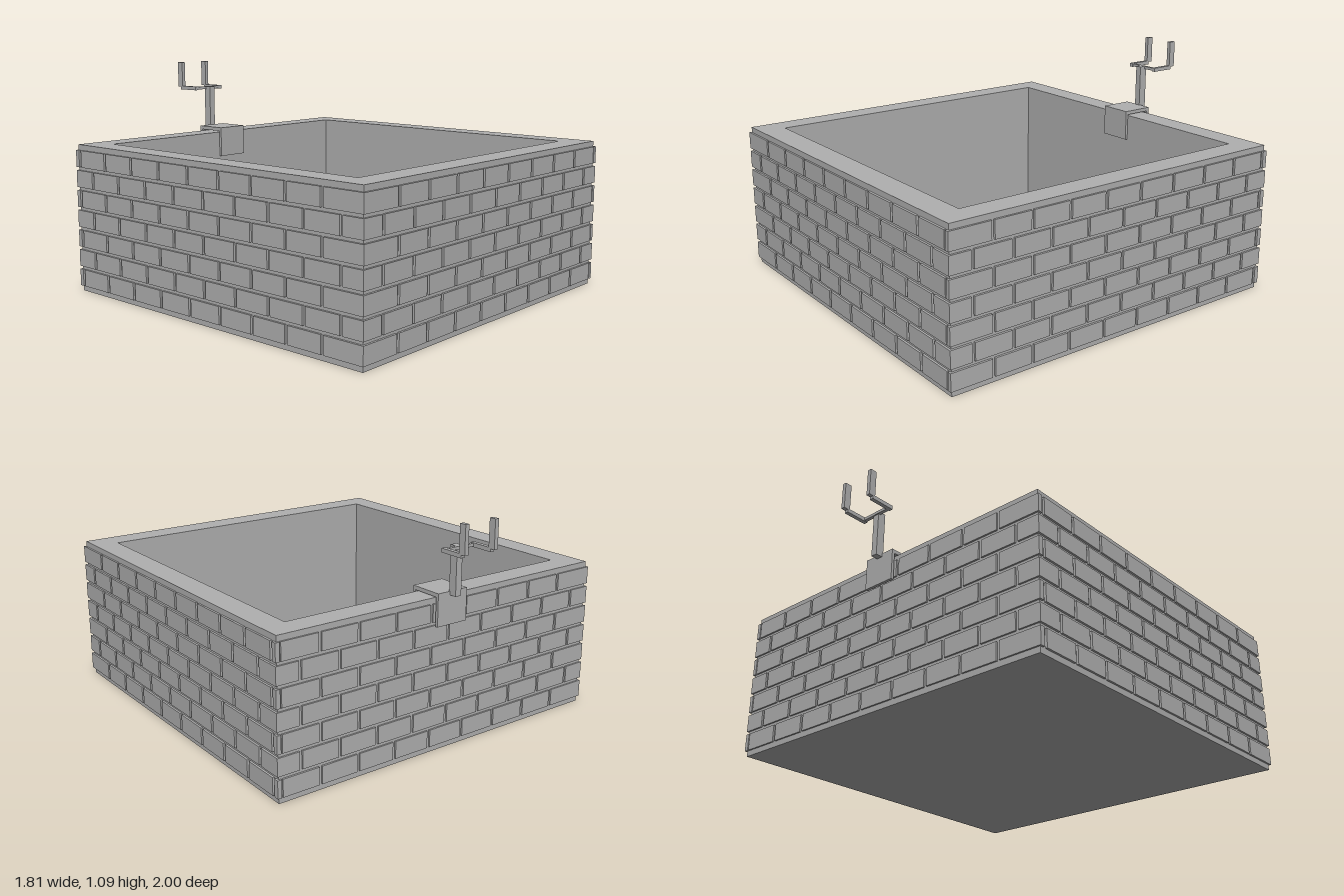
import * as THREE from 'three';

const grey = new THREE.MeshStandardMaterial({ color: 0xb0b0b0 });
grey.name = 'stone grey';

// Box given by its min and max on each axis
function box(name, [x0, x1], [y0, y1], [z0, z1]) {
  const mesh = new THREE.Mesh(new THREE.BoxGeometry(x1 - x0, y1 - y0, z1 - z0), grey);
  mesh.position.set((x0 + x1) / 2, (y0 + y1) / 2, (z0 + z1) / 2);
  mesh.name = name;
  return mesh;
}

// Spans of the bricks in one course, between two ends with evenly spaced joints
function courseSpans(start, end, firstJoint, pitch, gap) {
  const spans = [];
  let a = start;
  for (let j = firstJoint; j < end - gap; j += pitch) {
    spans.push([a, j - gap / 2]);
    a = j + gap / 2;
  }
  spans.push([a, end]);
  return spans;
}

export function createModel() {
  const model = new THREE.Group();
  model.name = 'brickBasin';

  const H = 0.728, X = 0.893, ZF = 0.99, ZB = -0.807; // core
  const BX = 0.903, BF = 1.0, BB = -0.815;            // brick faces

  // Hollow core with an open top
  const outer = new THREE.Shape([[-X, -ZF], [X, -ZF], [X, -ZB], [-X, -ZB]].map(p => new THREE.Vector2(...p)));
  outer.holes.push(new THREE.Path([[-0.775, -0.863], [-0.775, 0.69], [0.775, 0.69], [0.775, -0.863]].map(p => new THREE.Vector2(...p))));
  const wallGeo = new THREE.ExtrudeGeometry(outer, { depth: H, bevelEnabled: false });
  wallGeo.rotateX(-Math.PI / 2);
  const walls = new THREE.Mesh(wallGeo, grey);
  walls.name = 'walls';
  model.add(walls);
  model.add(box('floor', [-0.78, 0.78], [0, 0.05], [-0.695, 0.868]));

  // Seven courses of bricks in running bond on all four sides
  const bricks = new THREE.Group();
  bricks.name = 'bricks';
  const pitch = 0.1965, gap = 0.0145;
  for (let row = 0; row < 7; row++) {
    const y = 0.027 + row * 0.0985;
    const ys = [y, y + 0.083];
    const odd = row % 2;
    for (const s of courseSpans(-BX, BX, odd ? -0.786 : -0.688, pitch, gap)) {
      bricks.add(box('frontBrick', s, ys, [ZF - 0.01, BF]));
      bricks.add(box('backBrick', s, ys, [BB, ZB + 0.01]));
    }
    // Side courses run backwards from the front corner
    for (const [a, b] of courseSpans(-BF, -BB, odd ? -0.887 : -0.788, pitch, gap)) {
      bricks.add(box('leftBrick', [X - 0.01, BX], ys, [-b, -a]));
      bricks.add(box('rightBrick', [-BX, -X + 0.01], ys, [-b, -a]));
    }
  }
  model.add(bricks);

  // Clamp hooked over the back wall
  const holder = new THREE.Group();
  holder.name = 'holder';
  const cx = [-0.083, 0.083];
  holder.add(box('clampTop', cx, [0.734, 0.752], [-0.836, -0.672]));
  holder.add(box('clampInnerPlate', cx, [0.6, 0.736], [-0.685, -0.672]));
  holder.add(box('clampOuterPlate', cx, [0.6, 0.736], [-0.836, -0.822]));

  // Post and forked cradle
  holder.add(box('post', [-0.016, 0.016], [0.735, 0.96], [-0.871, -0.83]));
  holder.add(box('crossbar', [-0.09, 0.09], [0.946, 0.96], [-0.876, -0.86]));
  for (const s of [-1, 1]) {
    const xs = [s * 0.084 - 0.01, s * 0.084 + 0.01];
    holder.add(box('forkArm', xs, [0.943, 0.962], [-0.978, -0.858]));
    holder.add(box('forkProng', xs, [0.957, 1.09], [-1.0, -0.966]));
  }
  model.add(holder);
  return model;
}
